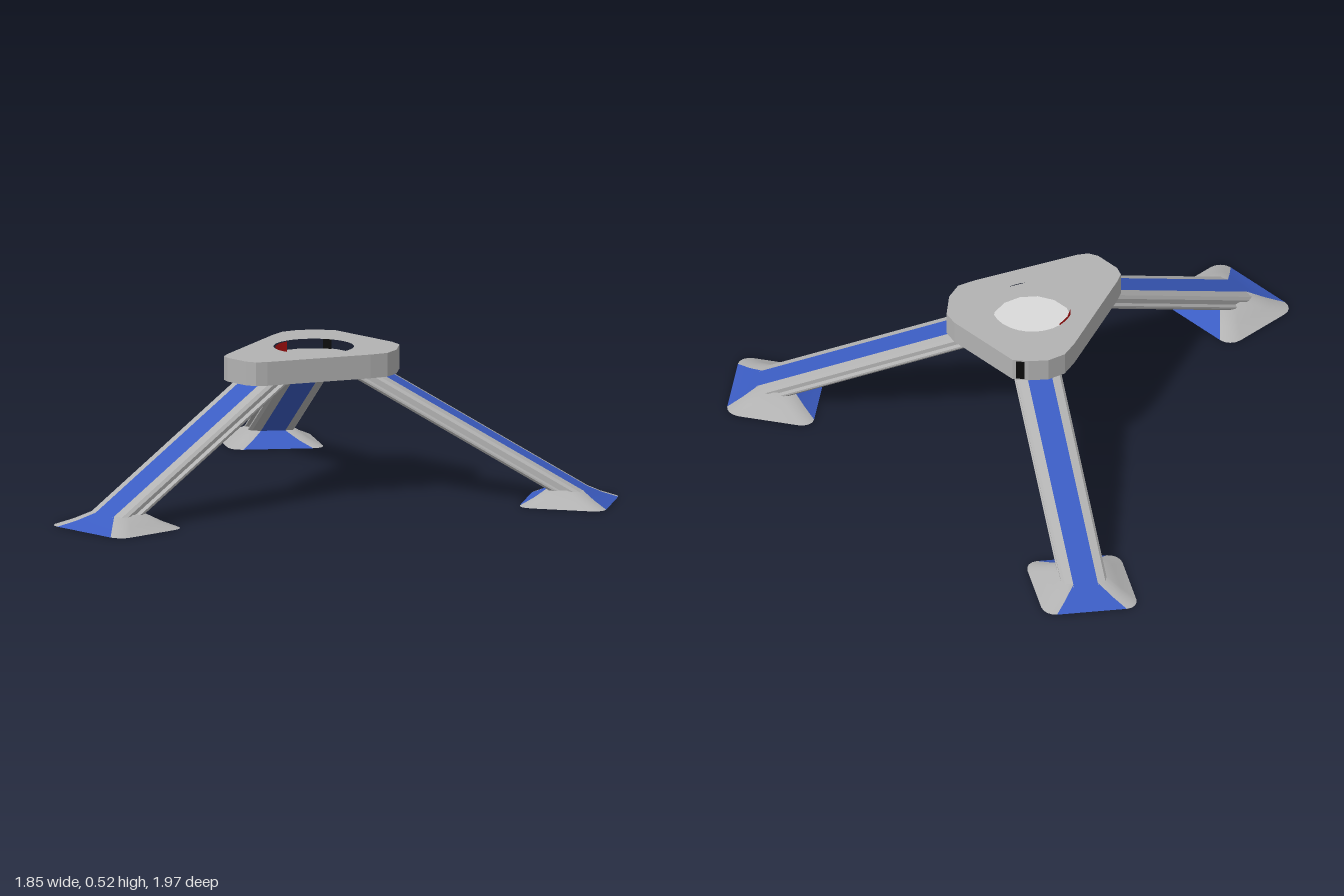
import * as THREE from 'three';
import { toCreasedNormals } from 'three/addons/utils/BufferGeometryUtils.js';

const mat = (name, color) => {
  const m = new THREE.MeshStandardMaterial({ color });
  m.name = name;
  return m;
};

// Rounded rectangle in (along, across) coordinates; segments 9 and 19 are the flat ends
function roundedLoop(outer, inner, half, r) {
  const pts = [];
  const centres = [[outer - r, half - r], [inner + r, half - r], [inner + r, r - half], [outer - r, r - half]];
  centres.forEach(([a, w], k) => {
    for (let i = 0; i < 5; i++) {
      const t = (k + i / 4) * Math.PI / 2;
      pts.push([a + r * Math.cos(t), w + r * Math.sin(t)]);
    }
  });
  return pts;
}

// Horizontal slice of the grooved leg; first and last edges of each half are flat
const halfLeg = [[0, 0.048], [-0.01, 0.08], [-0.03, 0.09], [-0.043, 0.09], [-0.05, 0.074],
  [-0.08, 0.074], [-0.087, 0.09], [-0.1, 0.09], [-0.12, 0.08], [-0.13, 0.048]];
const legLoop = [...halfLeg, ...halfLeg.map(([a, w]) => [a, -w]).reverse()];

export function createModel() {
  const grey = mat('grey', 0xb2b2b2);
  const blue = mat('blue', 0x3b5cc2);
  const pale = mat('pale grey', 0xdadada);
  const red = mat('red', 0xc01212);
  const black = mat('black', 0x0c0c0c);

  const model = new THREE.Group();
  model.name = 'tripodStand';
  const add = (parent, name, geo, material) => {
    const m = new THREE.Mesh(geo, material);
    m.name = name;
    parent.add(m);
    return m;
  };
  const addTriangles = (parent, name, tris, material) => {
    const geo = new THREE.BufferGeometry().setFromPoints(tris);
    geo.computeVertexNormals();
    add(parent, name, toCreasedNormals(geo, 0.6), material);
  };

  // Skin between two loops, putting the flat ends in the blue list
  const skin = (A, B, greys, blues) => {
    const n = A.length;
    for (let i = 0; i < n; i++) {
      const j = (i + 1) % n;
      const list = i === n / 2 - 1 || i === n - 1 ? blues : greys;
      list.push(A[i], B[i], B[j], A[i], B[j], A[j]);
    }
  };
  const cap = (L, up, list) => {
    for (let i = 1; i < L.length - 1; i++) list.push(L[0], L[up ? i + 1 : i], L[up ? i : i + 1]);
  };

  // Legs with flared feet: outer end, outward direction, cross direction, inward run
  const legs = [
    { name: 'rightLeg', end: [-0.93, 0.0375], d: [-1, 0], c: [0, -1], run: 0.69 },
    { name: 'backLeg', end: [0.786, -0.911], d: [0.512, -0.859], c: [0.728, 0.529], run: 0.73 },
    { name: 'frontLeg', end: [0.802, 0.9], d: [0.537, 0.843], c: [-0.714, 0.548], run: 0.73 },
  ];
  for (const { name, end, d, c, run } of legs) {
    const place = (loop, y, shift = 0) => loop.map(([a, w]) => new THREE.Vector3(
      end[0] + d[0] * (a + shift) + c[0] * w, y, end[1] + d[1] * (a + shift) + c[1] * w));
    const group = new THREE.Group();
    group.name = name;
    model.add(group);

    // Foot
    const sole = place(roundedLoop(0, -0.315, 0.1875, 0.05), 0);
    const middle = place(roundedLoop(-0.05, -0.272, 0.138, 0.046), 0.022);
    const ankle = place(roundedLoop(-0.1, -0.23, 0.09, 0.042), 0.05);
    const footGrey = [], footBlue = [];
    skin(sole, middle, footGrey, footBlue);
    skin(middle, ankle, footGrey, footBlue);
    cap(sole, false, footBlue);
    cap(ankle, true, footGrey);
    addTriangles(group, 'footSides', footGrey, grey);
    addTriangles(group, 'footEndsAndSole', footBlue, blue);

    // Beam
    const beamGrey = [], beamBlue = [];
    const slice = y => place(legLoop, y, -0.1 - run * (y - 0.05) / 0.38);
    skin(slice(0.045), slice(0.442), beamGrey, beamBlue);
    addTriangles(group, 'beamSides', beamGrey, grey);
    addTriangles(group, 'beamStripes', beamBlue, blue);
  }

  // Hub plate with a round socket
  const outline = [[-0.18, -0.03], [-0.165, -0.065], [-0.13, -0.085], [0.23, -0.24], [0.295, -0.26],
    [0.36, -0.245], [0.415, -0.2], [0.45, -0.155], [0.45, 0.14], [0.435, 0.195], [0.36, 0.26],
    [0.295, 0.283], [0.23, 0.265], [-0.13, 0.122], [-0.165, 0.1], [-0.18, 0.065]];
  const hubShape = () => new THREE.Shape(outline.map(([x, z]) => new THREE.Vector2(x, -z)));
  const slab = (shape, y, depth) => new THREE.ExtrudeGeometry(shape, { depth, bevelEnabled: false, curveSegments: 14 })
    .rotateX(-Math.PI / 2).translate(0, y, 0);
  const ring = hubShape();
  ring.holes.push(new THREE.Path().absarc(0.19, -0.015, 0.142, 0, Math.PI * 2, true));
  add(model, 'hubRing', slab(ring, 0.45, 0.067), grey);
  add(model, 'hubBase', slab(hubShape(), 0.432, 0.018), grey);
  add(model, 'socketFloor', new THREE.CylinderGeometry(0.141, 0.141, 0.006, 14), pale).position.set(0.19, 0.453, 0.015);

  // Red panel on the socket wall
  red.side = THREE.DoubleSide;
  add(model, 'socketPanel', new THREE.CylinderGeometry(0.135, 0.135, 0.06, 2, 1, true, Math.PI * 1.01, 0.72), red)
    .position.set(0.19, 0.486, 0.015);

  // Black marker on the hub corner
  const marker = add(model, 'cornerMarker', new THREE.BoxGeometry(0.006, 0.074, 0.03), black);
  marker.position.set(0.4325, 0.475, -0.1775);
  marker.rotation.y = 0.657;

  return model;
}
